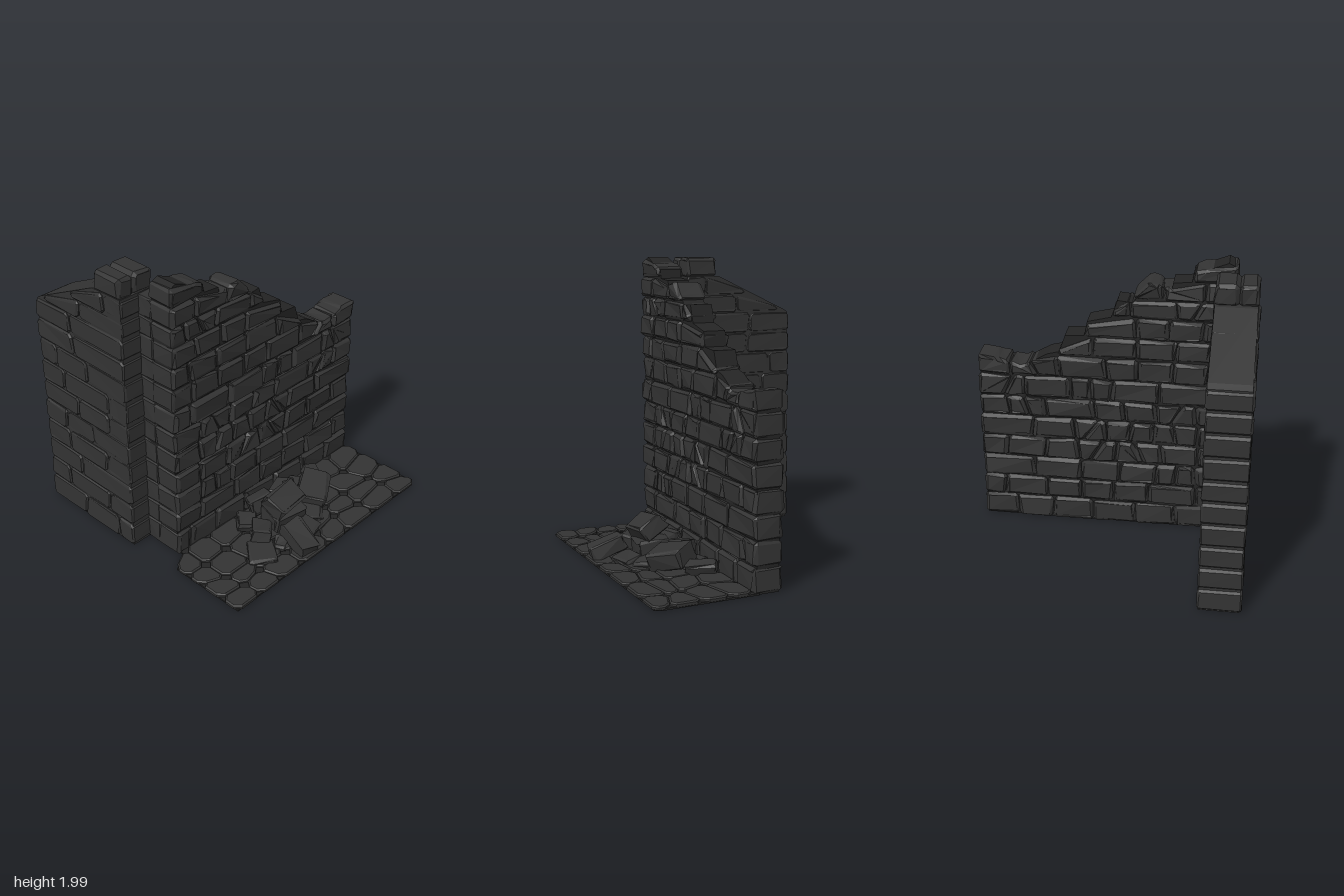
import * as THREE from 'three';
import { mergeGeometries } from 'three/addons/utils/BufferGeometryUtils.js';

const stoneMat = new THREE.MeshStandardMaterial({ color: 0x333333 });
stoneMat.name = 'dark stone';
const mortarMat = new THREE.MeshStandardMaterial({ color: 0x242424 });
mortarMat.name = 'mortar';

// Repeatable noise
const hash = (a, b, c) => {
  const s = Math.sin(a * 127.1 + b * 311.7 + c * 74.7) * 43758.5453;
  return (s - Math.floor(s)) * 2 - 1;
};
let seed = 7;
const rand = () => {
  seed = (seed * 16807) % 2147483647;
  return seed / 2147483647;
};

// Height of a broken top edge at u
function heightAt(line, u) {
  if (u <= line[0][0]) return line[0][1];
  for (let i = 1; i < line.length; i++) {
    const [a, ya] = line[i - 1], [b, yb] = line[i];
    if (u <= b) return ya + ((yb - ya) * (u - a)) / (b - a);
  }
  return line[line.length - 1][1];
}

// Cut every corner of an outline
function chamfer(points, size) {
  const out = [];
  points.forEach((p, i) => {
    const n = points.length;
    for (const q of [points[(i + n - 1) % n], points[(i + 1) % n]]) {
      const len = Math.hypot(q[0] - p[0], q[1] - p[1]);
      const t = Math.min(size / len, 0.3);
      out.push(new THREE.Vector2(p[0] + (q[0] - p[0]) * t, p[1] + (q[1] - p[1]) * t));
    }
  });
  return out;
}

// Chiselled stone: bevelled extrusion from d0 to d1, roughened corner by corner
function stone(points, d0, d1, { bevel = 0.014, rough = 0.008, cut = 0.014 } = {}) {
  const g = new THREE.ExtrudeGeometry(new THREE.Shape(chamfer(points, cut)), {
    depth: d1 - d0 - 2 * bevel, bevelEnabled: true, bevelSegments: 1, steps: 1,
    bevelThickness: bevel, bevelSize: bevel, bevelOffset: -bevel,
  });
  g.translate(0, 0, d0 + bevel);
  const p = g.attributes.position;
  for (let i = 0; i < p.count; i++) {
    const k = [p.getX(i), p.getY(i), p.getZ(i)].map((v) => Math.round(v * 1000) / 100);
    p.setXYZ(i,
      p.getX(i) + hash(k[0], k[1], k[2]) * rough * 0.5,
      Math.max(0, p.getY(i) + hash(k[1], k[2], k[0]) * rough * 0.5),
      p.getZ(i) + hash(k[2], k[0], k[1]) * rough);
  }
  g.computeVertexNormals();
  return g;
}

// One course of stones with slightly leaning joints and a few slanting cracks
function course(u0, u1, y0, y1, line, d0, d1, width, cracks, gap, options) {
  const joints = [[u0, u0]];
  let u = u0 + width * (0.45 + 0.6 * rand());
  while (u < u1 - width * 0.4) {
    const lean = (rand() - 0.5) * 0.02;
    joints.push([u - lean, u + lean]);
    const step = width * (0.75 + 0.5 * rand());
    if (rand() < cracks && u + step < u1 - 0.08) {
      const slant = (rand() - 0.5) * 0.1;
      joints.push([u + step * 0.5 - slant, u + step * 0.5 + slant]);
    }
    u += step;
  }
  joints.push([u1, u1]);
  const out = [];
  for (let i = 1; i < joints.length; i++) {
    const [bl, tl] = joints[i - 1], [br, tr] = joints[i];
    const top = (x) => Math.max(y0 + 0.035, Math.min(y1 - gap, heightAt(line, x)));
    const pts = [[bl + gap, y0 + gap], [br - gap, y0 + gap], [tr - gap, top(tr - gap)]];
    line.filter(([x, y]) => x > tl + 0.03 && x < tr - 0.03 && y < y1 - gap).reverse()
      .forEach(([x]) => pts.push([x, top(x)]));
    pts.push([tl + gap, top(tl + gap)]);
    const shift = (rand() - 0.5) * 0.016;
    out.push(stone(pts, d0 + shift * 0.5, d1 + shift, options));
  }
  return out;
}

// Solid mortar body under a top line
function core(line, u0, u1, drop, d0, d1) {
  const pts = [[u0, 0], [u1, 0], [u1, heightAt(line, u1) - drop]];
  line.filter(([x]) => x > u0 && x < u1).reverse().forEach(([x, y]) => pts.push([x, y - drop]));
  pts.push([u0, heightAt(line, u0) - drop]);
  const g = new THREE.ExtrudeGeometry(new THREE.Shape(pts.map((p) => new THREE.Vector2(...p))),
    { depth: d1 - d0, bevelEnabled: false });
  return g.translate(0, 0, d0);
}

export function createModel() {
  const model = new THREE.Group();
  model.name = 'ruinedWall';
  const add = (name, geometry, material = stoneMat) => {
    const m = new THREE.Mesh(geometry, material);
    m.name = name;
    model.add(m);
    return m;
  };
  const rows = [0, 0.17, 0.33, 0.49, 0.65, 0.81, 0.96, 1.12, 1.28, 1.43, 1.58, 1.71, 1.85, 2.0];

  // Front wall with a stepped, broken top
  const frontLine = [[-0.79, 1.97], [-0.73, 2.0], [-0.6, 1.95], [-0.51, 1.92], [-0.5, 1.86],
    [-0.38, 1.85], [-0.37, 1.8], [-0.23, 1.84], [-0.12, 1.7], [-0.02, 1.71], [0.02, 1.59],
    [0.18, 1.55], [0.2, 1.45], [0.33, 1.44], [0.37, 1.32], [0.45, 1.3], [0.62, 1.2],
    [0.8, 1.24], [0.93, 1.26]];
  const ends = { 8: 0.38, 9: 0.19, 10: 0.01, 11: -0.13, 12: -0.51 };
  const frontStones = [];
  for (let r = 0; r < rows.length - 1; r++) {
    const end = ends[r] ?? 0.93;
    const broken = r >= 4 && r <= 8 ? 0.6 : 0.2;
    frontStones.push(...course(-0.795, end, rows[r], rows[r + 1], frontLine, 0.04, 0.24, 0.27,
      broken, 0.004, { bevel: 0.018, rough: 0.011 }));
  }
  add('frontWallStones', mergeGeometries(frontStones));
  add('frontWallMortar', core(frontLine, -0.78, 0.915, 0.012, 0.062, 0.216), mortarMat);

  // Side wall running back, with a sloping top; built along z and turned
  const sideLine = [[-0.89, 1.57], [-0.84, 1.6], [-0.31, 1.85], [0.06, 1.86]];
  const starts = { 10: -0.8, 11: -0.52 };
  const sideStones = [], linkStones = [];
  for (let r = 0; r < 12; r++) {
    const start = starts[r] ?? -0.895;
    sideStones.push(...course(start, -0.045, rows[r], rows[r + 1], sideLine, 0.655, 0.935, 0.36,
      0, 0.002, { bevel: 0.01, rough: 0.004, cut: 0.022 }));
    linkStones.push(stone([[-0.06, rows[r] + 0.002], [0.06, rows[r] + 0.002],
      [0.06, rows[r + 1] - 0.002], [-0.06, rows[r + 1] - 0.002]], 0.655, 0.79,
    { bevel: 0.008, rough: 0.004, cut: 0.006 }));
  }
  add('sideWallStones', mergeGeometries(sideStones)).rotation.y = -Math.PI / 2;
  add('cornerStones', mergeGeometries(linkStones)).rotation.y = -Math.PI / 2;
  add('sideWallCore', core(sideLine, -0.878, -0.055, 0.003, 0.662, 0.927))
    .rotation.y = -Math.PI / 2;

  // Two stones left standing on the side wall
  const capStones = [[-0.93, -0.81], [-0.81, -0.66]].map(([a, b]) =>
    stone([[a, 1.84], [b, 1.84], [b, 1.98], [a, 1.98]], -0.29, -0.06, { bevel: 0.018, cut: 0.02 }));
  add('capStones', mergeGeometries(capStones));

  // Paving: uneven slabs over a thin bed
  const xs = [-0.91, -0.74, -0.5, -0.28, -0.02, 0.22, 0.46, 0.7, 0.93];
  const zs = [0.24, 0.42, 0.6, 0.76, 0.895];
  const corner = (i, j) => {
    const inX = i > 0 && i < xs.length - 1, inZ = j > 0 && j < zs.length - 1;
    const z = j === 0 && i === 0 ? 0.33 : zs[j];
    return [xs[i] + (inX ? 0.055 * hash(i, j, 1) : 0), -z - (inZ ? 0.04 * hash(i, j, 2) : 0)];
  };
  const slabs = [];
  for (let i = 0; i < xs.length - 1; i++) {
    for (let j = 0; j < zs.length - 1; j++) {
      const pts = [corner(i, j + 1), corner(i + 1, j + 1), corner(i + 1, j), corner(i, j)];
      const g = new THREE.ExtrudeGeometry(new THREE.Shape(chamfer(pts, 0.04)), {
        depth: 0.012 + 0.006 * rand(), bevelSegments: 1, bevelThickness: 0.008,
        bevelSize: 0.01, bevelOffset: -0.011,
      });
      slabs.push(g.translate(0, 0, 0.008).rotateX(-Math.PI / 2));
    }
  }
  add('pavingSlabs', mergeGeometries(slabs));
  const bed = new THREE.Shape([[-0.9, -0.885], [0.9, -0.885], [0.925, -0.85], [0.925, -0.2],
    [-0.77, -0.2], [-0.77, -0.33], [-0.9, -0.33]].map((p) => new THREE.Vector2(...p)));
  add('pavingBed', new THREE.ExtrudeGeometry(bed, { depth: 0.012, bevelEnabled: false })
    .rotateX(-Math.PI / 2), mortarMat);

  // Fallen stones: size, position, rotation
  const rubble = new THREE.Group();
  rubble.name = 'rubble';
  model.add(rubble);
  [
    [[0.25, 0.12, 0.17], [-0.08, 0.225, 0.52], [0.5, 0.12, 0.1]],
    [[0.27, 0.13, 0.19], [0.26, 0.105, 0.49], [0.2, 0.6, 0.15]],
    [[0.15, 0.11, 0.24], [-0.18, 0.09, 0.76], [0.35, -0.15, 0.15]],
    [[0.18, 0.1, 0.14], [-0.29, 0.07, 0.52], [0.1, 0.7, -0.25]],
    [[0.26, 0.14, 0.2], [-0.06, 0.09, 0.5], [0.1, -0.2, 0.05]],
    [[0.1, 0.08, 0.2], [0.42, 0.055, 0.36], [0.1, -0.5, -0.3]],
    [[0.16, 0.1, 0.13], [0.1, 0.11, 0.35], [-0.3, 0.4, 0.2]],
    [[0.18, 0.12, 0.12], [-0.12, 0.12, 0.35], [-0.35, -0.4, 0.1]],
    [[0.14, 0.07, 0.12], [-0.28, 0.06, 0.36], [0.2, 0.9, 0.1]],
    [[0.22, 0.05, 0.17], [-0.42, 0.03, 0.64], [0.05, 0.9, -0.05]],
    [[0.18, 0.05, 0.15], [-0.02, 0.04, 0.68], [0.2, 0.3, -0.1]],
    [[0.15, 0.05, 0.14], [0.12, 0.04, 0.6], [0.15, 0.8, 0]],
    [[0.1, 0.05, 0.08], [-0.27, 0.04, 0.67], [0.1, 0.4, 0.2]],
    [[0.12, 0.06, 0.1], [0.27, 0.05, 0.31], [-0.2, 0.3, 0.1]],
  ].forEach(([[w, h, d], position, rotation]) => {
    const g = stone([[-w / 2, 0], [w / 2, 0], [w / 2, h], [-w / 2, h]], -d / 2, d / 2,
      { bevel: 0.01, rough: 0.016, cut: 0.012 });
    const m = new THREE.Mesh(g.translate(0, -h / 2, 0), stoneMat);
    m.name = 'fallenStone';
    m.position.set(...position);
    m.rotation.set(...rotation);
    rubble.add(m);
  });

  return model;
}
